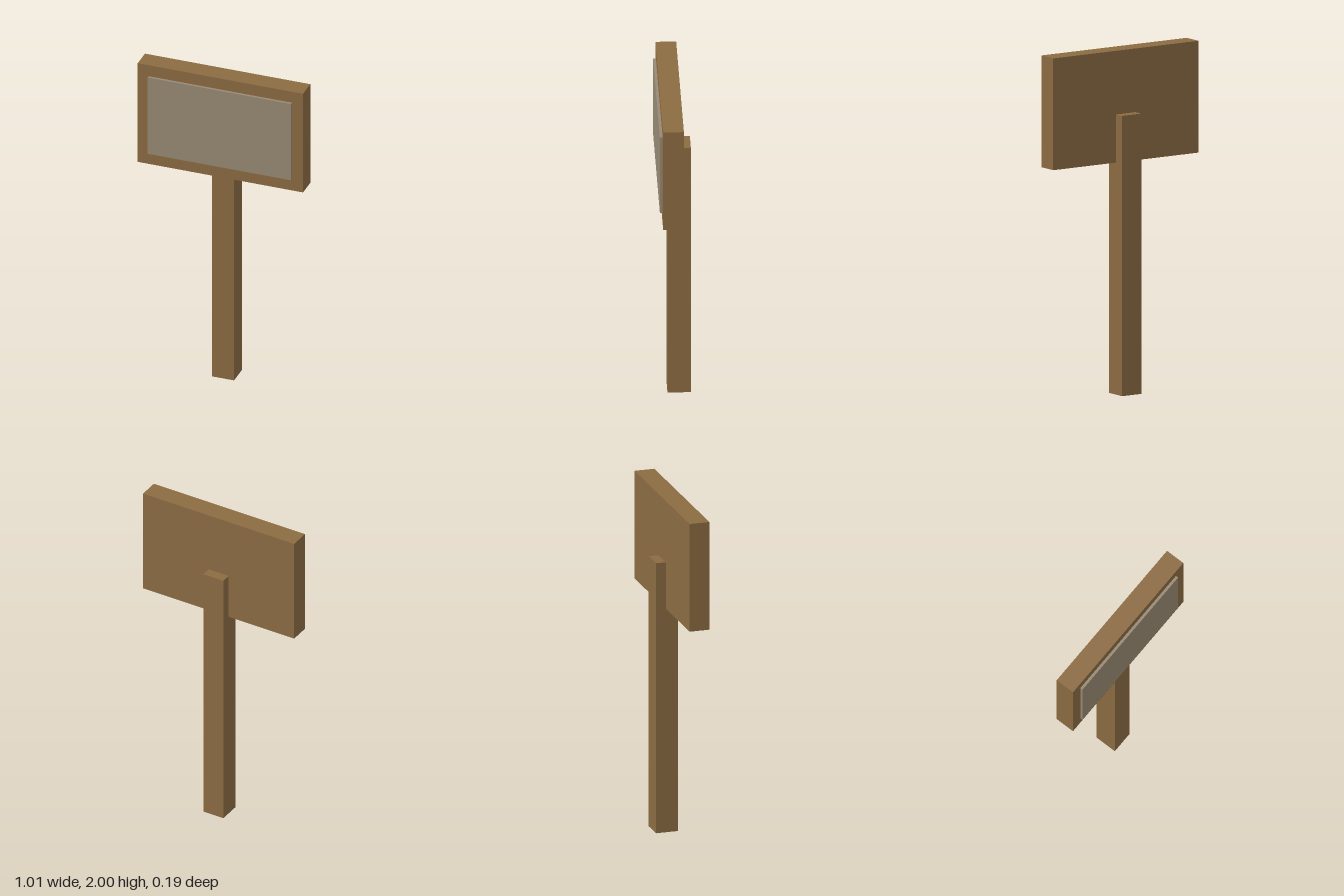
import * as THREE from 'three';

export function createModel() {
  const group = new THREE.Group();
  const wood = new THREE.MeshStandardMaterial({ color: 0x8b6b42 });
  wood.name = 'brown wood';
  const paper = new THREE.MeshStandardMaterial({ color: 0x978973 });
  paper.name = 'grey beige panel';

  // Box given by its lowest and highest corners
  function addBox(name, material, min, max) {
    const size = max.map((v, i) => v - min[i]);
    const mesh = new THREE.Mesh(new THREE.BoxGeometry(...size), material);
    mesh.position.set(...max.map((v, i) => (v + min[i]) / 2));
    mesh.name = name;
    group.add(mesh);
  }

  // Upright post, partly sunk into the back of the board
  addBox('post', wood, [-0.067, 0, -0.097], [0.067, 1.63, 0.037]);
  // Wide sign board
  addBox('board', wood, [-0.505, 1.35, -0.038], [0.505, 2, 0.081]);
  // Raised panel on the front of the board
  addBox('frontPanel', paper, [-0.438, 1.425, 0.081], [0.438, 1.928, 0.097]);

  return group;
}
